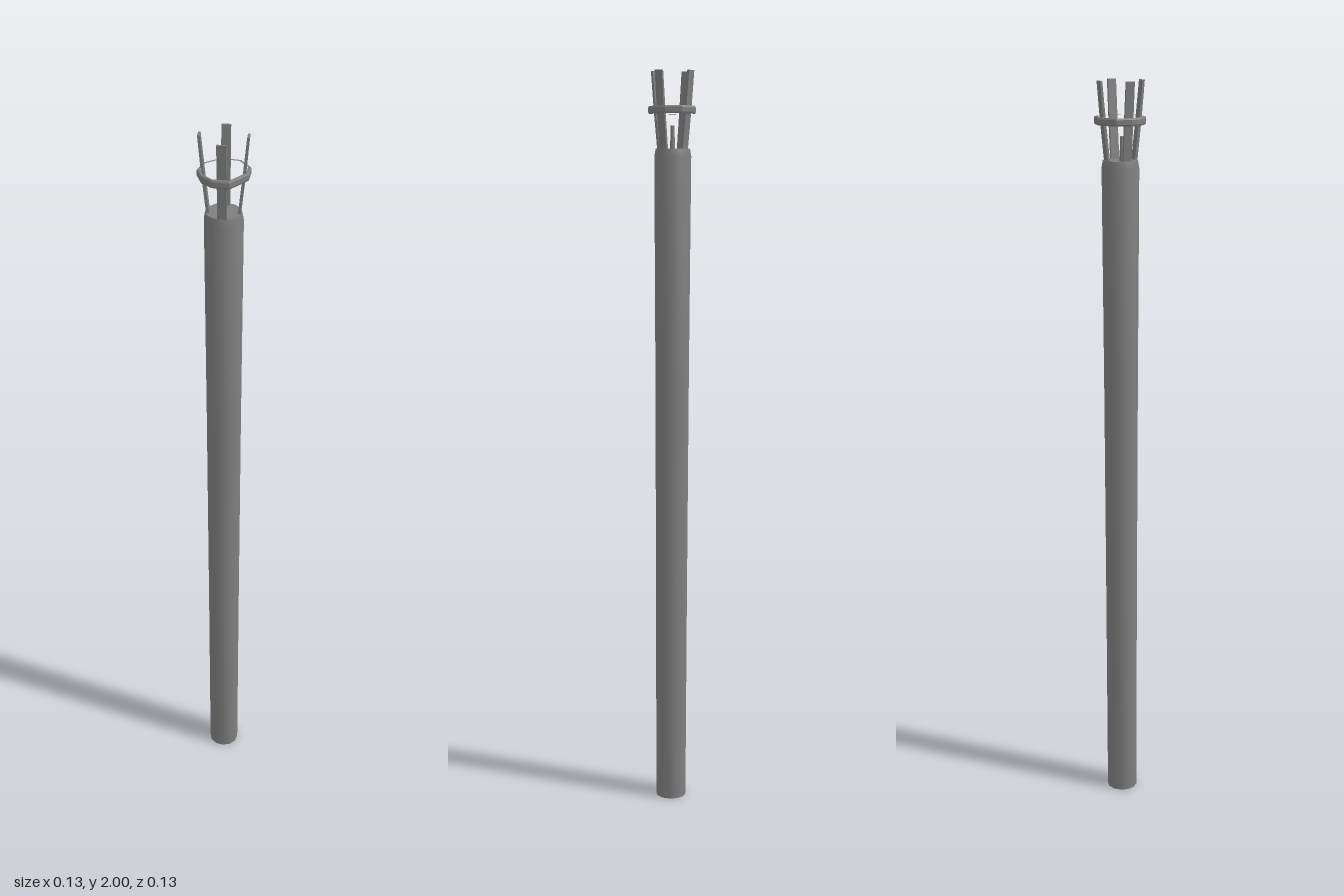
import * as THREE from 'three';
import { toCreasedNormals } from 'three/addons/utils/BufferGeometryUtils.js';

const material = new THREE.MeshStandardMaterial({ color: 0x7f7f7f });

function addPart(parent, name, geometry) {
  const mesh = new THREE.Mesh(geometry, material);
  mesh.name = name;
  parent.add(mesh);
  return mesh;
}

// Turned pole with a slight taper, a chamfered rim and a small hand-made lean
function shaftGeometry() {
  const profile = [
    [0, 0], [0.0415, 0], [0.043, 0.55], [0.0455, 1.2],
    [0.049, 1.78], [0.0455, 1.8], [0, 1.796],
  ].map(([r, y]) => new THREE.Vector2(r, y));
  const geometry = new THREE.LatheGeometry(profile, 12);
  const p = geometry.attributes.position;
  for (let i = 0; i < p.count; i++) {
    const lean = 1 - p.getY(i) / 1.8;
    p.setX(i, p.getX(i) + 0.001 * lean);
    p.setZ(i, p.getZ(i) + 0.006 * lean - 0.001);
  }
  return toCreasedNormals(geometry, 0.7);
}

// Flat strip leaning outwards: side outline extruded across its width
function prongGeometry() {
  const outline = new THREE.Shape([
    [0.034, 1.79], [0.041, 1.79], [0.053, 1.9], [0.062, 2], [0.056, 2], [0.046, 1.9],
  ].map(([r, y]) => new THREE.Vector2(r, y)));
  const geometry = new THREE.ExtrudeGeometry(outline, { depth: 0.023, bevelEnabled: false });
  return geometry.translate(0, 0, -0.0115);
}

// Uneven nine-sided hoop with bevelled edges, extruded upwards from its plan
function hoopGeometry() {
  const plan = [
    [-0.01, -0.067], [0.037, -0.059], [0.064, -0.023], [0.062, 0.0125], [0.02, 0.065],
    [-0.025, 0.06], [-0.052, 0.037], [-0.065, 0.002], [-0.055, -0.036],
  ].map(([x, z]) => new THREE.Vector2(x, -z));
  const band = new THREE.Shape(plan);
  band.holes.push(new THREE.Path(plan.map((v) => v.clone().multiplyScalar(0.91))));
  const geometry = new THREE.ExtrudeGeometry(band, {
    depth: 0.012, bevelThickness: 0.004, bevelSize: 0.002, bevelOffset: -0.002, bevelSegments: 1,
  });
  return geometry.rotateX(-Math.PI / 2).translate(0, 1.894, 0);
}

export function createModel() {
  const model = new THREE.Group();
  model.name = 'torch';

  addPart(model, 'shaft', shaftGeometry());

  // Slim wick standing in the middle of the head
  addPart(model, 'wick', new THREE.CylinderGeometry(0.005, 0.007, 0.07, 8))
    .position.set(-0.003, 1.825, 0.002);

  // Basket: four prongs held by one hoop
  const basket = new THREE.Group();
  basket.name = 'basket';
  model.add(basket);
  const prong = prongGeometry();
  for (let i = 0; i < 4; i++) {
    addPart(basket, `prong${i + 1}`, prong).rotation.y = (i * Math.PI) / 2;
  }
  addPart(basket, 'hoop', hoopGeometry());

  return model;
}
